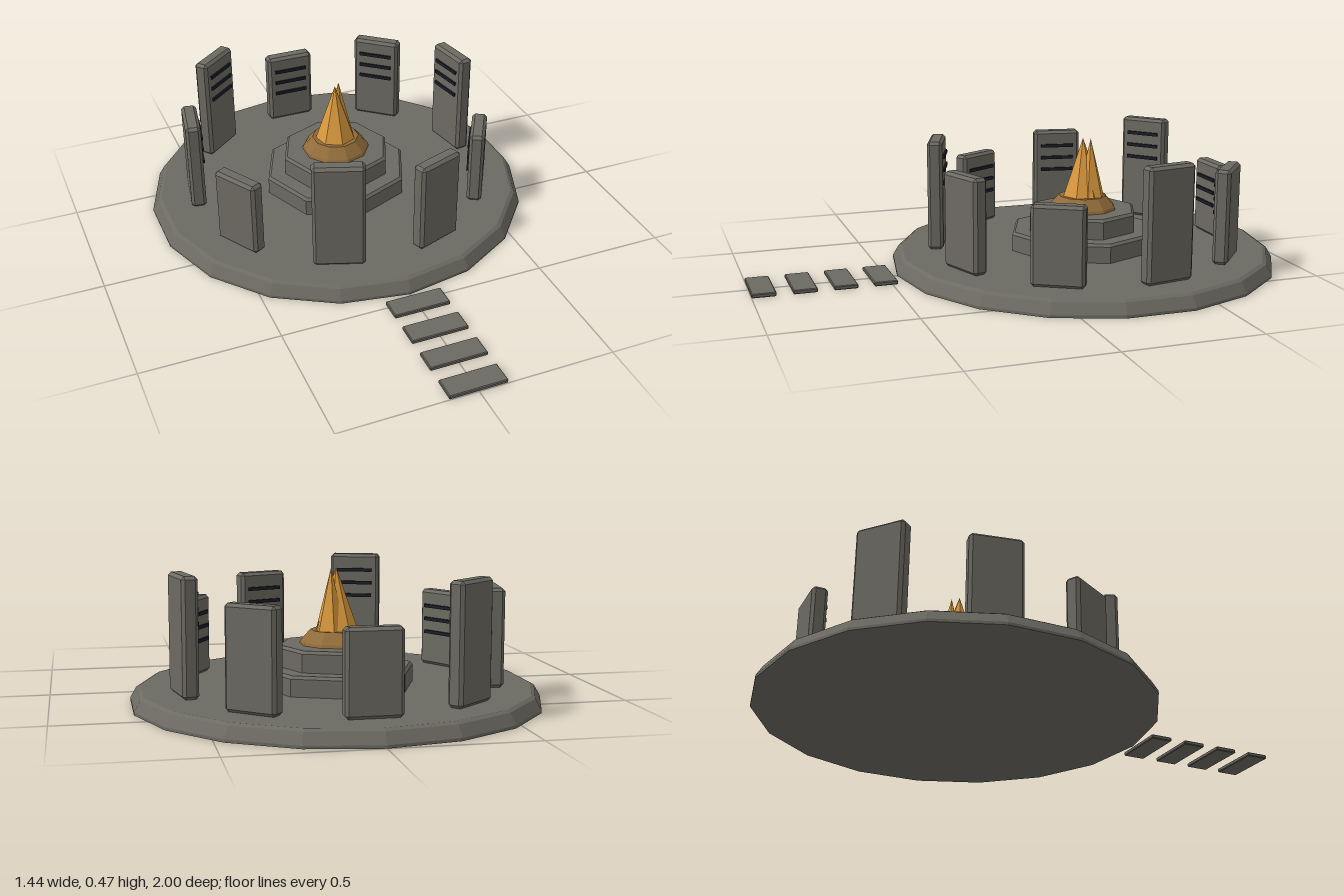
import * as THREE from 'three';
import { ConvexGeometry } from 'three/addons/geometries/ConvexGeometry.js';

const CENTRE_Z = -0.27;
const FLOOR = 0.056;

function material(name, color) {
  const m = new THREE.MeshStandardMaterial({ color });
  m.name = name;
  return m;
}

// Gives every face its own flat normal
function faceted(geometry) {
  const g = geometry.toNonIndexed();
  g.computeVertexNormals();
  return g;
}

// Many-sided solid turned from a [radius, height] profile
function turned(profile, sides) {
  const points = profile.map(([r, y]) => new THREE.Vector2(r, y));
  return faceted(new THREE.LatheGeometry(points, sides));
}

// Box with chamfered edges, standing on y = 0
function chamferBox(w, h, d, c) {
  const points = [];
  for (const x of [-1, 1]) for (const y of [-1, 1]) for (const z of [-1, 1]) {
    for (let axis = 0; axis < 3; axis++) {
      const inset = [c, c, c];
      inset[axis] = 0;
      points.push(new THREE.Vector3(
        x * (w / 2 - inset[0]),
        h / 2 + y * (h / 2 - inset[1]),
        z * (d / 2 - inset[2])
      ));
    }
  }
  return new ConvexGeometry(points);
}

export function createModel() {
  const stone = material('stone', 0x6c6a62);
  const gold = material('gold', 0xdb9a3e);
  const bronze = material('bronze', 0x916c3a);
  const dark = material('dark slit', 0x1b1c25);

  const model = new THREE.Group();
  model.name = 'stoneCircle';
  const circle = new THREE.Group();
  circle.name = 'circle';
  circle.position.z = CENTRE_Z;
  model.add(circle);

  function add(parent, name, geometry, mat, x = 0, y = 0, z = 0) {
    const mesh = new THREE.Mesh(geometry, mat);
    mesh.name = name;
    mesh.position.set(x, y, z);
    parent.add(mesh);
    return mesh;
  }

  // Eighteen-sided platform with a sloping rim
  add(circle, 'platform', turned([
    [0, 0], [0.73, 0], [0.73, 0.01], [0.708, 0.048], [0.695, FLOOR], [0, FLOOR]
  ], 18), stone);

  // Two octagonal steps
  add(circle, 'lowerStep', turned([
    [0.282, FLOOR], [0.282, 0.117], [0.272, 0.127], [0, 0.127]
  ], 8), stone);
  add(circle, 'upperStep', turned([
    [0.212, 0.127], [0.212, 0.192], [0.202, 0.202], [0, 0.202]
  ], 8), stone);

  // Bowl and the two flame spikes
  add(circle, 'bowl', turned([[0.13, 0.202], [0.126, 0.212], [0.09, 0.252], [0, 0.252]], 10), bronze);
  add(circle, 'mainFlame', turned([[0.078, 0.25], [0, 0.472]], 7), gold);
  add(circle, 'sideFlame', turned([[0.056, 0.25], [0, 0.472]], 6), gold, 0.023, 0, -0.022);

  // Nine standing slabs in three repeating heights, slits on the inner side
  const tops = [0.345, 0.406, 0.47];
  for (let i = 0; i < 9; i++) {
    const angle = i * Math.PI * 2 / 9;
    const slab = new THREE.Group();
    slab.name = 'standingSlab' + (i + 1);
    slab.position.set(Math.sin(angle) * 0.555, FLOOR, -Math.cos(angle) * 0.555);
    slab.rotation.y = -angle;
    circle.add(slab);
    const height = tops[i % 3] - FLOOR;
    add(slab, 'slab', chamferBox(0.19, height, 0.057, 0.011), stone);
    for (let k = 0; k < 3; k++) {
      add(slab, 'slit', new THREE.BoxGeometry(0.135, 0.013, 0.009), dark,
        0, height - 0.062 - k * 0.05, 0.031);
    }
  }

  // Four stepping stones leading to the front
  for (let i = 0; i < 4; i++) {
    add(model, 'steppingStone' + (i + 1), chamferBox(0.212, 0.015, 0.086, 0.003), stone,
      0, 0, 0.957 - i * 0.1445);
  }
  return model;
}
